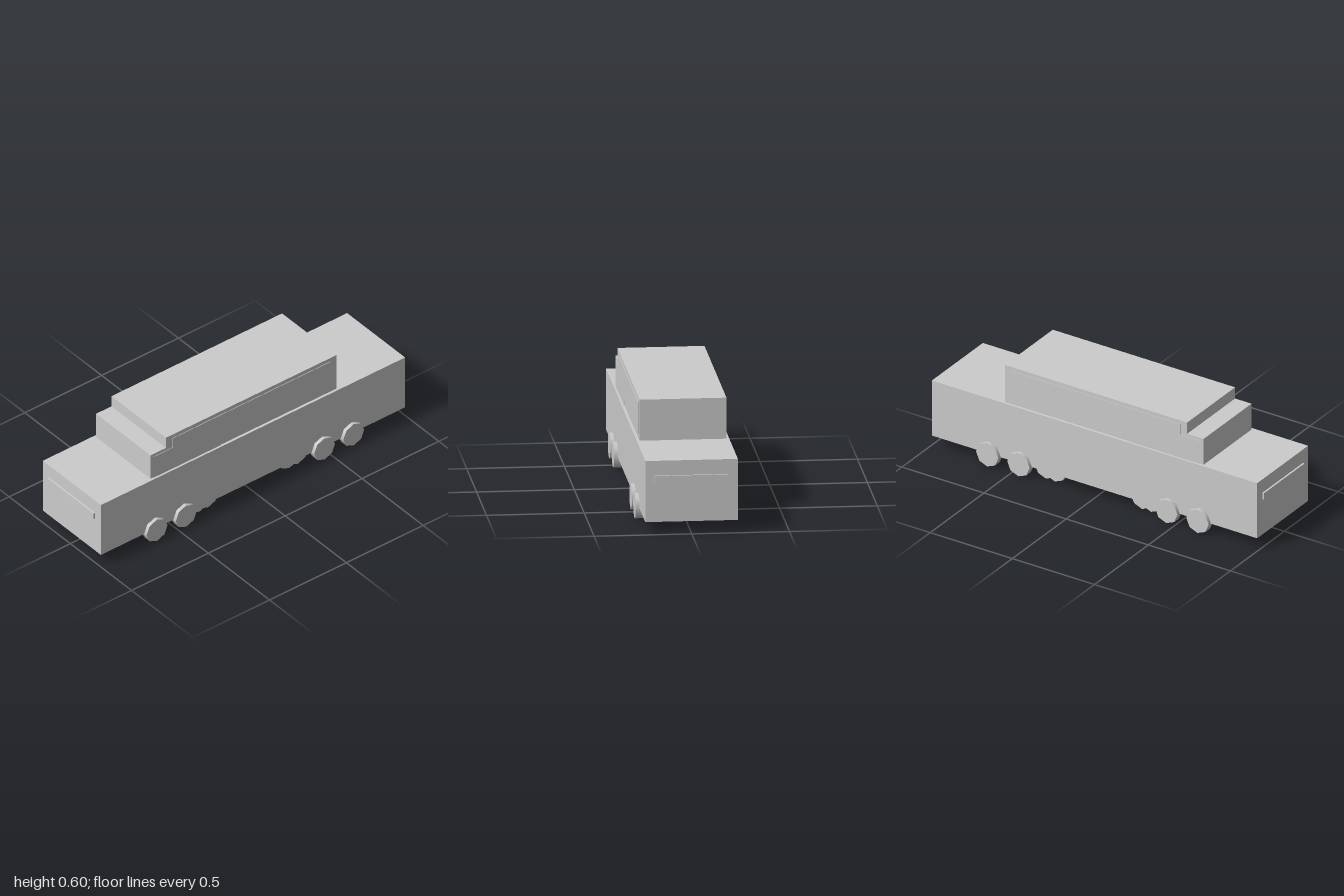
import * as THREE from 'three';

export function createModel() {
  const model = new THREE.Group();
  model.name = 'railVehicle';
  const grey = new THREE.MeshStandardMaterial({ color: 0xcccccc });
  grey.name = 'light grey';

  const add = (name, geometry, x = 0, y = 0, z = 0) => {
    const mesh = new THREE.Mesh(geometry, grey);
    mesh.name = name;
    mesh.position.set(x, y, z);
    model.add(mesh);
    return mesh;
  };

  // Side profile given as [z, y] points, extruded across x and centred on x = 0
  const sideProfile = (points, width) => {
    const shape = new THREE.Shape(points.map(([z, y]) => new THREE.Vector2(-z, y)));
    const geometry = new THREE.ExtrudeGeometry(shape, { depth: width, bevelEnabled: false });
    return geometry.translate(0, 0, -width / 2).rotateY(Math.PI / 2);
  };

  // Main hull
  add('hull', new THREE.BoxGeometry(0.474, 0.32, 1.98), 0, 0.225, 0);

  // Stepped upper cabin
  add('cabin', sideProfile([
    [-0.555, 0.385], [-0.555, 0.6], [0.555, 0.6],
    [0.555, 0.535], [0.655, 0.535], [0.655, 0.385],
  ], 0.445));

  // Thin raised panels on the cabin sides
  const panel = sideProfile([
    [-0.518, 0.415], [-0.518, 0.578], [0.513, 0.578], [0.513, 0.518],
    [0.637, 0.518], [0.637, 0.385], [0.2, 0.385], [0.2, 0.415],
  ], 0.006);
  for (const side of [-1, 1]) {
    add(side > 0 ? 'leftSidePanel' : 'rightSidePanel', panel, side * 0.2225, 0, 0);
  }

  // Bars across both ends of the hull
  for (const end of [-1, 1]) {
    add(end > 0 ? 'frontBar' : 'rearBar',
      new THREE.BoxGeometry(0.378, 0.037, 0.02), 0, 0.289, end * 0.99);
  }

  // Eight-sided wheels: outer pairs, overlapping inner pairs and small centre wheels
  const wheel = (width) => new THREE.CylinderGeometry(0.068, 0.068, width, 8).rotateZ(Math.PI / 2);
  const rows = [
    { name: 'outerWheel', x: 0.236, width: 0.042, zs: [0.64, 0.45] },
    { name: 'innerWheel', x: 0.18, width: 0.041, zs: [0.32, 0.265] },
  ];
  const centreWheel = wheel(0.026);
  for (const end of [-1, 1]) {
    for (const { name, x, width, zs } of rows) {
      const geometry = wheel(width);
      for (const z of zs) {
        for (const side of [-1, 1]) add(name, geometry, side * x, 0.068, end * z);
      }
    }
    add('centreWheel', centreWheel, 0, 0.068, end * 0.135);
  }

  return model;
}
